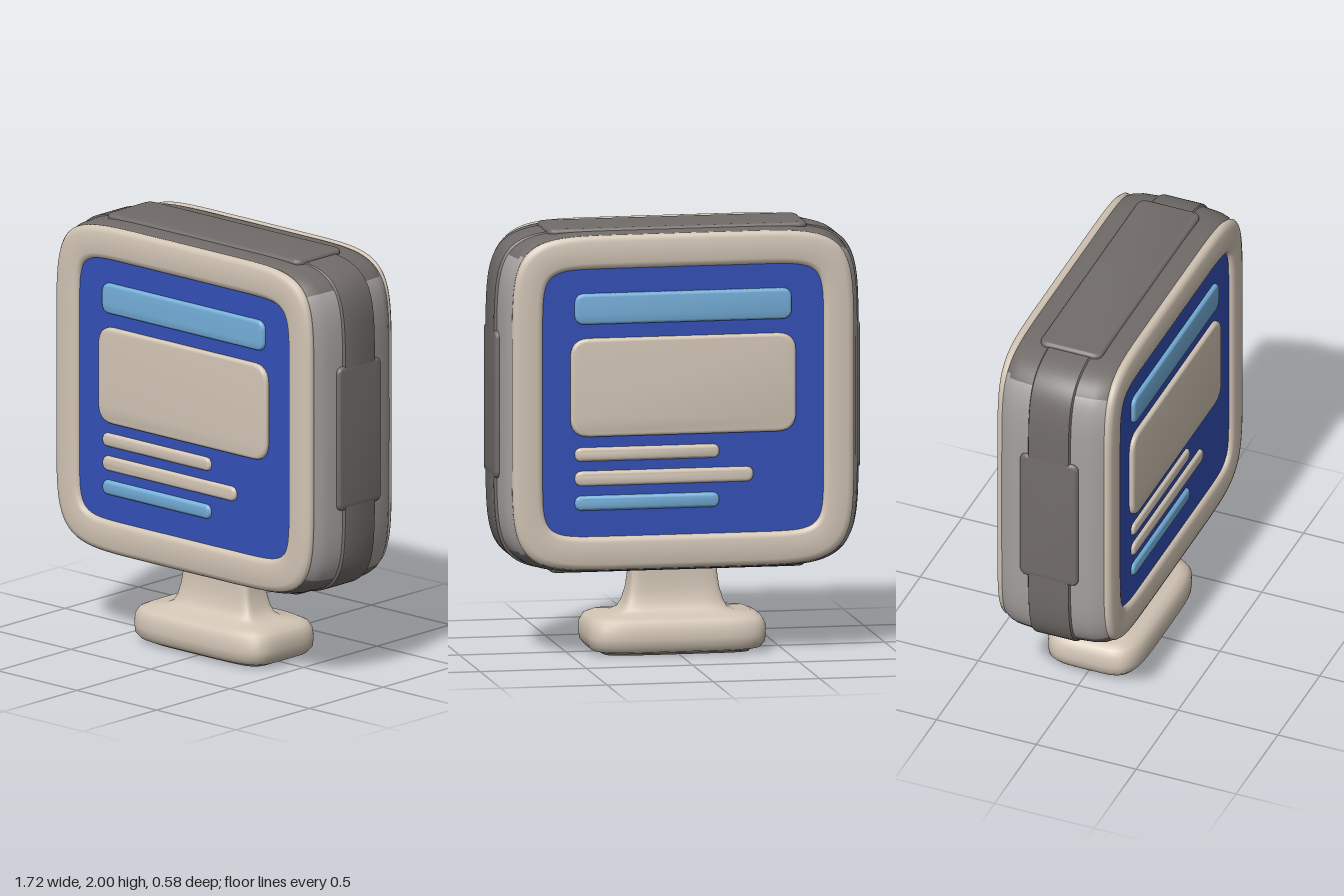
import * as THREE from 'three';
import { toCreasedNormals } from 'three/addons/utils/BufferGeometryUtils.js';

const material = (name, color) => {
  const m = new THREE.MeshStandardMaterial({ color });
  m.name = name;
  return m;
};

const SEG = 96;
const MID = 1.195; // height of the middle of the case

// Skin through superellipse rings [halfX, halfY, z, power]; pick(y, z) chooses a material slot per face
function loft(rings, pick = () => 0, crease = 0.6) {
  const pos = [], slots = [[], []];
  for (const [a, b, z, n = 7] of rings) {
    for (let j = 0; j < SEG; j++) {
      const t = (j / SEG) * Math.PI * 2, c = Math.cos(t), s = Math.sin(t);
      const bend = (v) => (Math.abs(v) < 1e-9 ? 0 : Math.sign(v) * Math.abs(v) ** (2 / n));
      pos.push(a * bend(c), b * bend(s), z);
    }
  }
  for (let i = 0; i < rings.length - 1; i++) {
    for (let j = 0; j < SEG; j++) {
      const k = (j + 1) % SEG;
      const p = i * SEG + j, q = i * SEG + k, r = q + SEG, s = p + SEG;
      const y = (pos[p * 3 + 1] + pos[q * 3 + 1]) / 2;
      const z = (rings[i][2] + rings[i + 1][2]) / 2;
      const out = slots[pick(y, z)];
      if (rings[i][0] > 0) out.push(p, q, r);
      if (rings[i + 1][0] > 0) out.push(p, r, s);
      else if (rings[i][0] > 0) out[out.length - 1] = s;
    }
  }
  const g = new THREE.BufferGeometry();
  g.setAttribute('position', new THREE.Float32BufferAttribute(pos, 3));
  g.setIndex([...slots[0], ...slots[1]]);
  g.addGroup(0, slots[0].length, 0);
  if (slots[1].length) g.addGroup(slots[0].length, slots[1].length, 1);
  return toCreasedNormals(g, crease);
}

// Softly rounded raised block between two corners, from the screen outwards
function pad(x0, x1, y0, y1, radius, height) {
  const bevel = 0.016;
  const x = x0 + bevel, y = y0 + bevel, X = x1 - bevel, Y = y1 - bevel;
  const r = Math.min(radius, (Y - y) / 2);
  const s = new THREE.Shape();
  s.moveTo(x + r, y);
  s.lineTo(X - r, y);
  s.quadraticCurveTo(X, y, X, y + r);
  s.lineTo(X, Y - r);
  s.quadraticCurveTo(X, Y, X - r, Y);
  s.lineTo(x + r, Y);
  s.quadraticCurveTo(x, Y, x, Y - r);
  s.lineTo(x, y + r);
  s.quadraticCurveTo(x, y, x + r, y);
  const g = new THREE.ExtrudeGeometry(s, {
    depth: height - bevel, bevelEnabled: true, bevelThickness: bevel, bevelSize: bevel, bevelSegments: 4, curveSegments: 6,
  });
  return toCreasedNormals(g, 0.7);
}

export function createModel() {
  const beige = material('beige', 0xd2c5b5);
  const blue = material('screenBlue', 0x3351b8);
  const sky = material('lightBlue', 0x74aed9);
  const dark = material('darkGrey', 0x716c69);
  const light = material('lightGrey', 0xa5a19f);

  const model = new THREE.Group();
  model.name = 'signBoard';
  const add = (parent, name, geometry, mat, x = 0, y = 0, z = 0) => {
    const m = new THREE.Mesh(geometry, mat);
    m.name = name;
    m.position.set(x, y, z);
    parent.add(m);
    return m;
  };

  // Case: raised middle band, sloping shoulders, light panels on the sides
  const half = [[0.86, 0.798, 0.092], [0.857, 0.798, 0.1], [0.845, 0.794, 0.106], [0.835, 0.792, 0.19], [0.82, 0.788, 0.23], [0.8, 0.778, 0.26]];
  const rings = [...half.map(([a, b, z]) => [a, b, -z]).reverse(), ...half];
  const isPanel = (y, z) => (Math.abs(y) < 0.69 && Math.abs(z) > 0.104 ? 1 : 0);
  add(model, 'case', loft(rings, isPanel), [dark, light], 0, MID);

  // Wider plates in the middle of each side band
  for (const side of [-1, 1]) {
    const plate = pad(-0.145, 0.145, 0.84, 1.53, 0.02, 0.04);
    plate.rotateY((side * Math.PI) / 2);
    add(model, side > 0 ? 'leftSidePlate' : 'rightSidePlate', plate, dark, side * 0.82, 0, 0);
  }

  // Thin raised plate on top
  const topPlate = pad(-0.61, 0.61, -0.155, 0.155, 0.03, 0.03);
  topPlate.rotateX(-Math.PI / 2);
  add(model, 'topPlate', topPlate, dark, 0, 1.97, 0);

  // The same display on both faces
  for (const [name, turn] of [['frontDisplay', 0], ['backDisplay', Math.PI]]) {
    const face = new THREE.Group();
    face.name = name;
    face.rotation.y = turn;
    model.add(face);
    add(face, 'frame', loft([
      [0.795, 0.775, 0.245], [0.803, 0.782, 0.256], [0.804, 0.783, 0.268], [0.795, 0.774, 0.281], [0.775, 0.755, 0.288],
      [0.69, 0.655, 0.289, 9], [0.672, 0.637, 0.284, 10], [0.662, 0.627, 0.274, 11], [0.66, 0.625, 0.26, 11],
    ], undefined, 0.9), beige, 0, MID + 0.008);
    add(face, 'screen', loft([[0.668, 0.633, 0.268, 11], [0, 0, 0.268, 11]]), blue, 0, MID + 0.008);
    add(face, 'titleBar', pad(-0.51, 0.51, 1.57, 1.715, 0.03, 0.023), sky, 0, 0, 0.264);
    add(face, 'card', pad(-0.53, 0.53, 1.045, 1.505, 0.07, 0.026), beige, 0, 0, 0.264);
    add(face, 'upperLine', pad(-0.51, 0.17, 0.93, 0.995, 0.02, 0.02), beige, 0, 0, 0.264);
    add(face, 'middleLine', pad(-0.51, 0.33, 0.815, 0.885, 0.02, 0.02), beige, 0, 0, 0.264);
    add(face, 'lowerLine', pad(-0.51, 0.17, 0.7, 0.77, 0.02, 0.02), sky, 0, 0, 0.264);
  }

  // Close the bottom of the case with a slim collar over the neck
  const collar = pad(-0.6, 0.6, -0.155, 0.155, 0.03, 0.02);
  collar.rotateX(Math.PI / 2);
  add(model, 'bottomPlate', collar, dark, 0, 0.412, 0);

  // Stand: chamfered foot flaring up into the neck
  const stand = loft([
    [0, 0, 0.01, 5], [0.36, 0.18, 0.01, 5], [0.395, 0.215, 0.02, 5], [0.416, 0.234, 0.045, 5], [0.42, 0.237, 0.08, 5],
    [0.418, 0.235, 0.13, 5], [0.4, 0.22, 0.162, 5], [0.365, 0.19, 0.178, 5], [0.29, 0.13, 0.184, 5],
    [0.25, 0.108, 0.2, 6], [0.23, 0.092, 0.235, 7], [0.213, 0.082, 0.29, 8], [0.204, 0.078, 0.35, 8], [0.2, 0.078, 0.43, 8],
  ], undefined, 0.8);
  stand.rotateX(-Math.PI / 2);
  add(model, 'stand', stand, beige);

  // Dark pad under the foot
  const sole = loft([[0, 0, 0, 6], [0.345, 0.17, 0, 6], [0.35, 0.175, 0.012, 6]]);
  sole.rotateX(-Math.PI / 2);
  add(model, 'footPad', sole, dark);

  return model;
}
